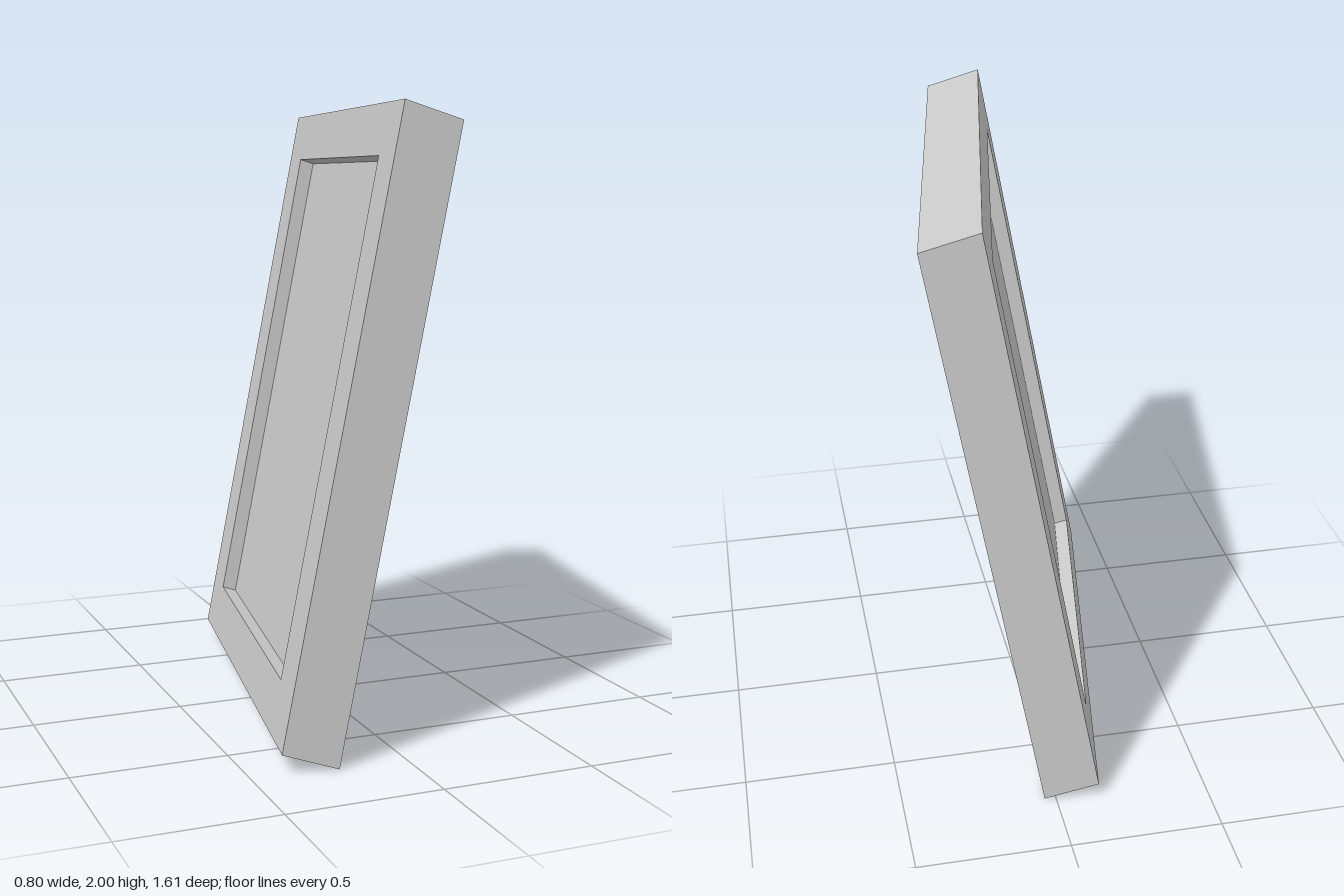
import * as THREE from 'three';

export function createModel() {
  const group = new THREE.Group();
  const material = new THREE.MeshStandardMaterial({ color: 0xcccccc, flatShading: true });

  // Leaning slab: full width, height and thickness directions, centred at y = 1
  const lean = new THREE.Matrix4().makeBasis(
    new THREE.Vector3(0.26, 0, -1.511),
    new THREE.Vector3(0.361, 1.942, 0.064),
    new THREE.Vector3(0.175, -0.058, 0.03)
  ).setPosition(0, 1, 0);

  const addPart = (name, geometry) => {
    const mesh = new THREE.Mesh(geometry.applyMatrix4(lean), material);
    mesh.name = name;
    group.add(mesh);
  };

  // Opening limits as fractions of the slab, measured from its centre
  const left = -0.378, right = 0.378, bottom = -0.41, top = 0.418;
  const rectangle = (target, x0, y0, x1, y1) =>
    target.moveTo(x0, y0).lineTo(x1, y0).lineTo(x1, y1).lineTo(x0, y1).closePath();

  // Border frame
  const outline = rectangle(new THREE.Shape(), -0.5, -0.5, 0.5, 0.5);
  outline.holes.push(rectangle(new THREE.Path(), left, bottom, right, top));
  const frame = new THREE.ExtrudeGeometry(outline, { depth: 1, bevelEnabled: false });
  addPart('frame', frame.translate(0, 0, -0.5));

  // Inner panel, recessed on both faces
  const back = -0.5 + 0.265, front = 0.5 - 0.15;
  const panel = new THREE.BoxGeometry(right - left, top - bottom, front - back);
  addPart('panel', panel.translate((left + right) / 2, (bottom + top) / 2, (back + front) / 2));

  return group;
}
